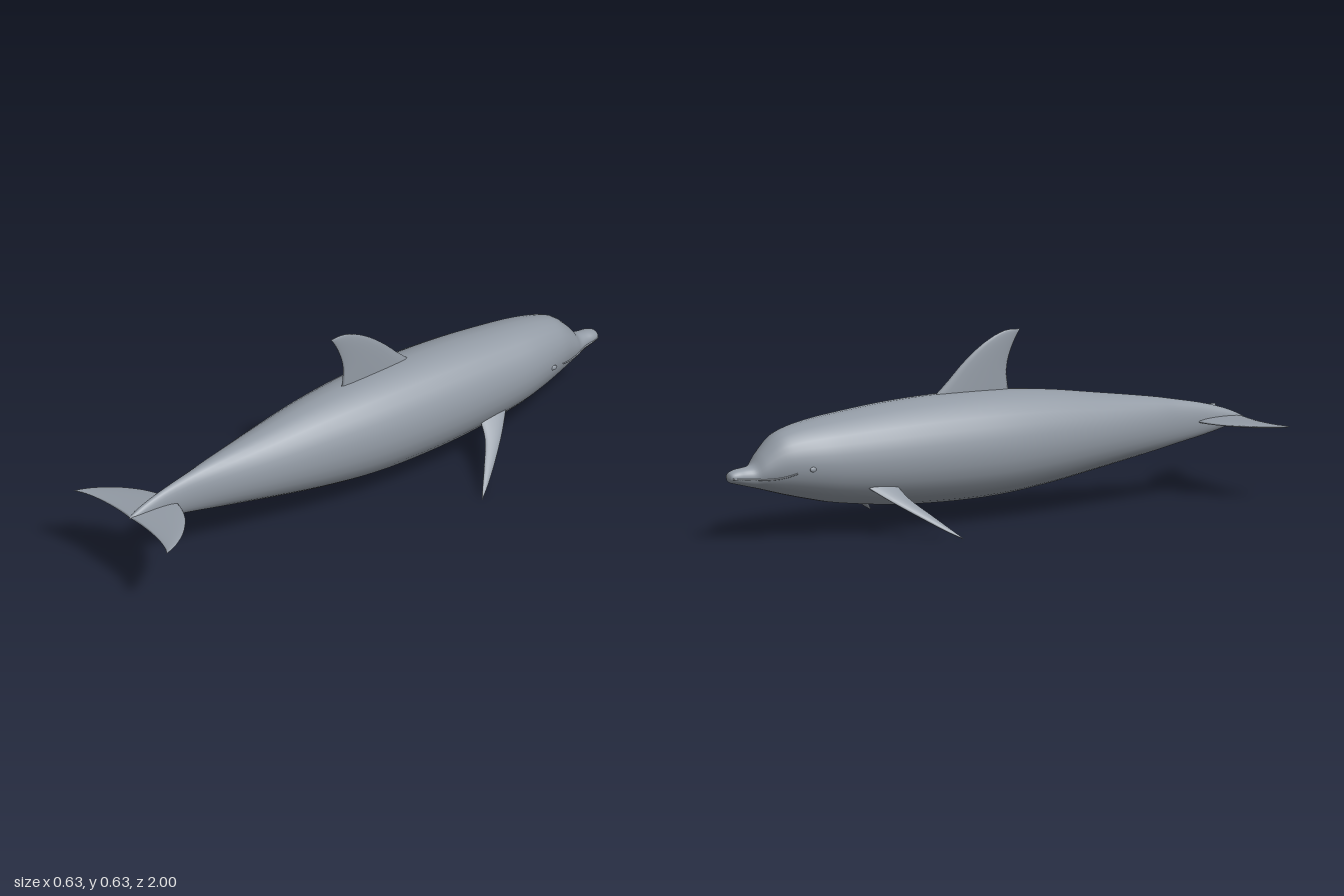
import * as THREE from 'three';

const V = (x, y, z) => new THREE.Vector3(x, y, z);
const curve = (pts) => new THREE.CatmullRomCurve3(pts.map((p) => V(...p)), false, 'catmullrom', 0.5);

// Skin a list of equal-length closed rings; faces are turned outward.
function loft(rings) {
  const n = rings[0].length;
  const pts = rings.flat();
  const index = [];
  for (let i = 0; i < rings.length - 1; i++) {
    for (let j = 0; j < n; j++) {
      const a = i * n + j, b = i * n + ((j + 1) % n);
      index.push(a, b, a + n, b, b + n, a + n);
    }
  }
  let volume = 0;
  const origin = pts[0], cross = V(0, 0, 0);
  for (let k = 0; k < index.length; k += 3) {
    const [a, b, c] = [0, 1, 2].map((m) => pts[index[k + m]].clone().sub(origin));
    volume += a.dot(cross.crossVectors(b, c));
  }
  if (volume < 0) index.reverse();
  const geo = new THREE.BufferGeometry().setFromPoints(pts);
  geo.setIndex(index);
  geo.computeVertexNormals();
  return geo;
}

// Lens-section fin between a leading and a trailing edge, both root to tip.
function fin(lead, trail, normal, thickness) {
  const L = curve(lead), T = curve(trail), rings = [];
  const steps = 16, sides = 16;
  for (let i = 0; i <= steps; i++) {
    const t = i / steps, a = L.getPoint(t), b = T.getPoint(t);
    const half = thickness * Math.sqrt(1 - t * 0.98);
    const ring = [];
    for (let j = 0; j < sides; j++) {
      const u = (j / sides) * Math.PI * 2;
      ring.push(a.clone().lerp(b, (1 - Math.cos(u)) / 2).addScaledVector(normal, Math.sin(u) * half * (i === steps ? 0 : 1)));
    }
    rings.push(ring);
  }
  return loft(rings);
}

// Body stations: z, top, bottom, half width
const STATIONS = [
  [-1.0, 0.227, 0.217, 0.006], [-0.993, 0.241, 0.207, 0.022], [-0.97, 0.25, 0.2, 0.03],
  [-0.94, 0.254, 0.192, 0.033], [-0.91, 0.262, 0.184, 0.043], [-0.88, 0.3, 0.176, 0.06],
  [-0.83, 0.35, 0.161, 0.082], [-0.78, 0.373, 0.147, 0.1], [-0.7, 0.391, 0.127, 0.122],
  [-0.6, 0.405, 0.106, 0.139], [-0.4, 0.425, 0.082, 0.157], [-0.2, 0.434, 0.073, 0.163],
  [0, 0.432, 0.077, 0.157], [0.2, 0.416, 0.099, 0.134], [0.4, 0.387, 0.132, 0.1],
  [0.6, 0.356, 0.167, 0.058], [0.7, 0.337, 0.186, 0.037], [0.8, 0.316, 0.205, 0.024],
  [0.88, 0.293, 0.224, 0.018], [0.93, 0.273, 0.241, 0.012], [0.96, 0.257, 0.255, 0.001],
];

export function createModel() {
  const model = new THREE.Group();
  model.name = 'dolphin';
  const grey = new THREE.MeshStandardMaterial({ color: 0x929aa4 });
  grey.name = 'grey skin';
  const add = (name, geo) => {
    const mesh = new THREE.Mesh(geo, grey);
    mesh.name = name;
    model.add(mesh);
    return mesh;
  };

  // Body with melon, beak and tapering tail stock
  const upper = curve(STATIONS.map(([z, t, b, w]) => [w, t, z]));
  const lower = curve(STATIONS.map(([z, t, b]) => [0, b, z]));
  const steps = 80, sides = 28, sections = [];
  for (let i = 0; i <= steps; i++) {
    const p = upper.getPoint(i / steps), q = lower.getPoint(i / steps);
    sections.push({ z: p.z, w: p.x, mid: (p.y + q.y) / 2, h: (p.y - q.y) / 2 });
  }
  const ringAt = (s, k) => Array.from({ length: sides }, (_, j) => {
    const u = (j / sides) * Math.PI * 2;
    return V(Math.sin(u) * s.w * k, s.mid + Math.cos(u) * s.h * k, s.z);
  });
  const rings = sections.map((s) => ringAt(s, 1));
  rings.unshift(ringAt(sections[0], 0));
  rings.push(ringAt(sections[steps], 0));
  add('body', loft(rings));

  // Point on the flank of the body at a given height and length
  const flank = (y, z, side) => {
    const i = Math.max(1, sections.findIndex((s) => s.z >= z));
    const a = sections[i - 1], b = sections[i], f = (z - a.z) / (b.z - a.z);
    const mix = (k) => a[k] + (b[k] - a[k]) * f;
    const d = (y - mix('mid')) / mix('h');
    return V(side * mix('w') * Math.sqrt(Math.max(0, 1 - d * d)), y, z);
  };

  // Dorsal fin
  add('dorsalFin', fin(
    [[0, 0.41, -0.235], [0, 0.47, -0.168], [0, 0.525, -0.112], [0, 0.575, -0.05], [0, 0.61, 0.01], [0, 0.627, 0.06], [0, 0.626, 0.112]],
    [[0, 0.41, 0.07], [0, 0.45, 0.064], [0, 0.49, 0.061], [0, 0.53, 0.067], [0, 0.57, 0.081], [0, 0.602, 0.097], [0, 0.626, 0.112]],
    V(1, 0, 0), 0.01));

  for (const s of [1, -1]) {
    const side = s > 0 ? 'left' : 'right';

    // Pectoral flipper, swept back and down
    add(side + 'Flipper', fin(
      [[s * 0.11, 0.172, -0.54], [s * 0.17, 0.124, -0.475], [s * 0.23, 0.074, -0.4], [s * 0.28, 0.03, -0.33], [s * 0.313, 0.002, -0.277]],
      [[s * 0.11, 0.172, -0.425], [s * 0.17, 0.124, -0.402], [s * 0.23, 0.074, -0.352], [s * 0.28, 0.03, -0.306], [s * 0.313, 0.002, -0.277]],
      V(s * 0.64, 0.77, 0), 0.009));

    // Tail fluke
    add(side + 'Fluke', fin(
      [[0, 0.256, 0.77], [s * 0.06, 0.256, 0.785], [s * 0.12, 0.256, 0.817], [s * 0.18, 0.256, 0.872], [s * 0.225, 0.256, 0.937], [s * 0.25, 0.256, 0.998]],
      [[0, 0.256, 0.955], [s * 0.06, 0.256, 0.954], [s * 0.12, 0.256, 0.958], [s * 0.18, 0.256, 0.968], [s * 0.225, 0.256, 0.983], [s * 0.25, 0.256, 0.998]],
      V(0, 1, 0), 0.01));

    // Mouth line along the beak and cheek
    const lip = [[0.222, -0.992], [0.219, -0.96], [0.217, -0.92], [0.215, -0.88], [0.22, -0.83], [0.234, -0.785]];
    add(side + 'MouthLine', new THREE.TubeGeometry(
      new THREE.CatmullRomCurve3(lip.map(([y, z]) => flank(y, z, s))), 24, 0.003, 6));

    // Eye
    const eye = add(side + 'Eye', new THREE.SphereGeometry(0.011, 14, 10));
    eye.position.copy(flank(0.246, -0.737, s));
    eye.scale.set(0.4, 0.8, 1.1);
  }
  return model;
}
